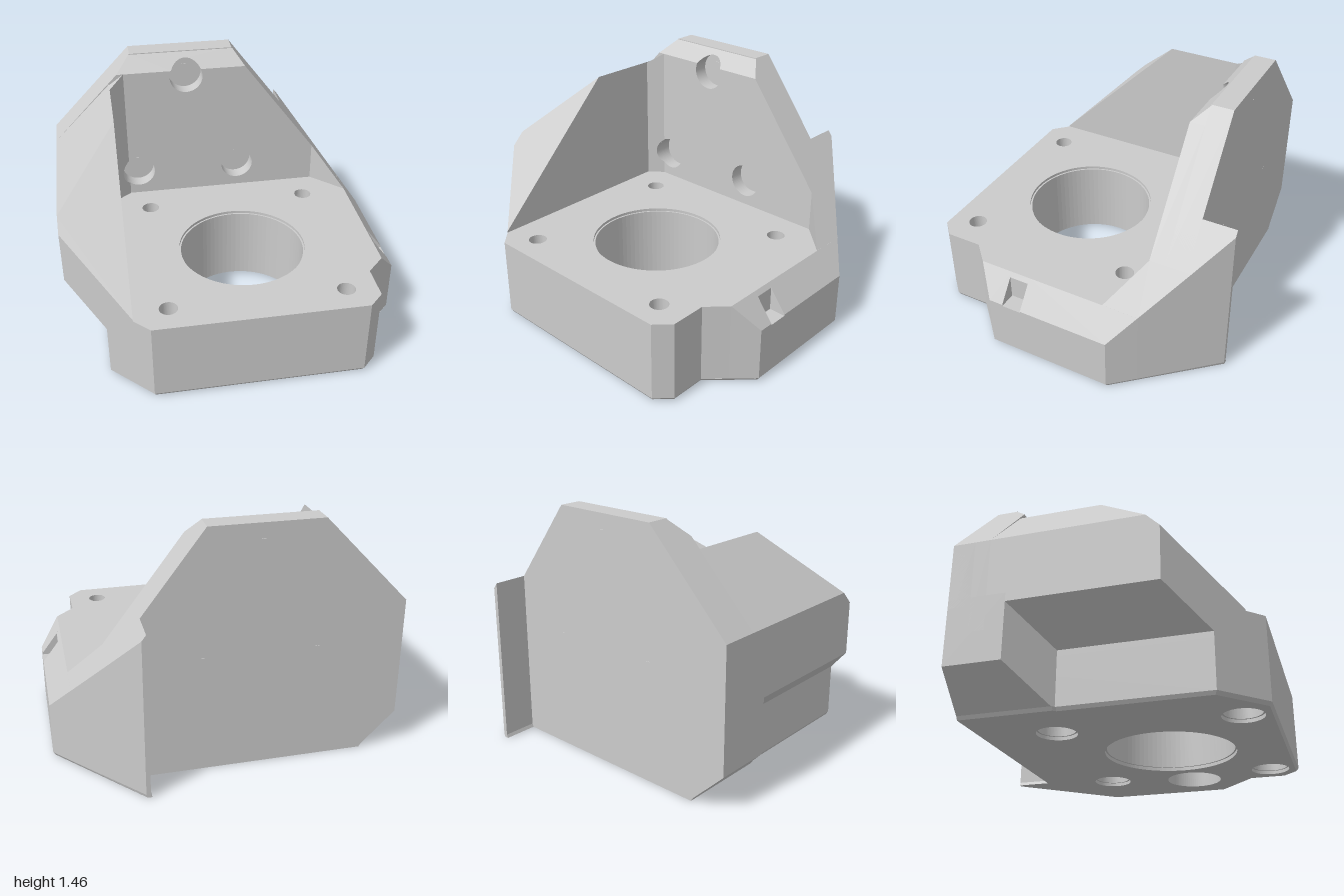
import * as THREE from 'three';
import { ConvexGeometry } from 'three/addons/geometries/ConvexGeometry.js';

const mat = new THREE.MeshStandardMaterial({ color: 0xcccccc, flatShading: true });
const FLOOR = 0.497; // top of the base
const FOOT = 0.02; // height of the chamfered foot layer
// height of the sloping cut on the +x side
const slope = (x) => 1.46 - 1.32 * (x - 0.15);

export function createModel() {
  const group = new THREE.Group();
  const add = (name, geo) => {
    const mesh = new THREE.Mesh(geo, mat);
    mesh.name = name;
    group.add(mesh);
  };
  const hull = (name, pts) =>
    add(name, new ConvexGeometry(pts.map((p) => new THREE.Vector3(...p))));
  // upright prism over plan corners [x, z, top], from a common bottom
  const prism = (name, corners, bottom) =>
    hull(name, corners.flatMap(([x, z, top]) => [[x, bottom, z], [x, top, z]]));
  const polygon = (pts) => new THREE.Shape(pts.map(([x, y]) => new THREE.Vector2(x, y)));
  const circle = (x, y, r) => new THREE.Path().absarc(x, y, r, 0, Math.PI * 2, true);
  // round hole with a small peak on top
  const teardrop = (x, y, r) => {
    const p = new THREE.Path();
    p.moveTo(x, y + r * 1.3);
    p.absarc(x, y, r, Math.PI * 0.6, Math.PI * 2.4, true);
    p.closePath();
    return p;
  };
  const extrude = (shape, depth) =>
    new THREE.ExtrudeGeometry(shape, { depth, bevelEnabled: false, curveSegments: 40 });
  // pull front vertices back onto a slanted plane z = limit(x, y)
  const slant = (geo, limit) => {
    const p = geo.attributes.position;
    for (let i = 0; i < p.count; i++)
      p.setZ(i, Math.min(p.getZ(i), limit(p.getX(i), p.getY(i))));
    geo.computeVertexNormals();
    return geo;
  };

  // base block in layers: counterbores and blind pocket open below
  const baseLayer = (plan, y0, y1, bore, screw) => {
    const shape = polygon(plan.map(([x, z]) => [x, -z]).reverse());
    shape.holes.push(circle(0.075, -0.23, bore));
    for (const x of [-0.437, 0.587])
      for (const z of [-0.286, 0.741]) shape.holes.push(circle(x, -z, screw));
    if (y1 <= 0.3) shape.holes.push(circle(0.69, -0.235, 0.17));
    return extrude(shape, y1 - y0).rotateX(-Math.PI / 2).translate(0, y0, 0);
  };
  const corner = [[0.77, 0.605], [0.77, 0.82], [0.685, 0.905], [-0.55, 0.905]];
  const rearEdge = [[0.51, -0.71], [0.51, -0.91], [0.535, -0.91]];
  const plan = [[-0.785, -0.71], ...rearEdge, [0.88, -0.518], [0.88, 0.495], ...corner, [-0.785, 0.67]];
  for (const layer of [[FOOT, 0.3, 0.375, 0.105], [0.3, 0.48, 0.375, 0.054], [0.48, FLOOR, 0.385, 0.054]])
    add('base', baseLayer(plan, ...layer));

  // foot layer: the lower outline is drawn in for a narrow chamfer
  const footPlan = [[-0.8, -0.71], ...rearEdge, [1, -0.38], [1, 0.38], ...corner, [-0.785, 0.67], [-0.785, -0.16], [-0.8, -0.175]];
  const foot = baseLayer(footPlan, 0, FOOT, 0.385, 0.115);
  const fp = foot.attributes.position;
  for (let i = 0; i < fp.count; i++) {
    const x = fp.getX(i), z = fp.getZ(i);
    if (fp.getY(i) < 0.01 && footPlan.some(([px, pz]) => Math.hypot(px - x, pz - z) < 1e-4))
      fp.setXYZ(i, x * 0.985, 0, z > 0 ? z * 0.985 : z);
  }
  foot.computeVertexNormals();
  add('foot', foot);

  // sloped edge of the base, with a small notch
  const rim = slope(1);
  prism('baseEdgeBack', [[0.88, -0.518, FLOOR], [1, -0.38, rim], [1, 0.172, rim], [0.88, 0.172, FLOOR]], FOOT);
  prism('baseEdgeFront', [[0.88, 0.292, FLOOR], [1, 0.292, rim], [1, 0.38, rim], [0.88, 0.495, FLOOR]], FOOT);
  const notch = polygon([[0.88, FOOT], [1, FOOT], [1, 0.33], [0.9, 0.33], [0.9, slope(0.9)], [0.88, FLOOR]]);
  add('baseNotch', extrude(notch, 0.12).translate(0, 0, 0.172));

  // back plate, rear layer with screw holes
  const screws = [[-0.156, 1.32], [-0.487, 0.661], [0.173, 0.661]];
  const rear = polygon([[-1, 0.4], [0.69, 0.4], [0.69, slope(0.69)], [0.15, 1.46], [-0.5, 1.46], [-1, 0.94]]);
  for (const [x, y] of screws) rear.holes.push(teardrop(x, y, 0.053));
  add('backPlate', extrude(rear, 0.13).translate(0, 0, -0.71));

  // front layer with counterbores; the top one runs into the chamfer
  const [topX, topY] = screws[0];
  const r = 0.105, yc = 1.365, a = Math.asin((yc - topY) / r), dx = r * Math.cos(a);
  const xRight = 0.15 + (1.46 - yc) / 1.32, xLeft = -0.5 - (1.46 - yc) / 1.04;
  const front = new THREE.Shape();
  front.moveTo(-1, 0.4);
  front.lineTo(0.69, 0.4);
  front.lineTo(0.69, slope(0.69));
  front.lineTo(xRight, yc);
  front.lineTo(topX + dx, yc);
  front.absarc(topX, topY, r, a, Math.PI - a, true);
  front.lineTo(xLeft, yc);
  front.lineTo(-1, 0.94);
  for (const [x, y] of screws.slice(1)) front.holes.push(circle(x, y, r));
  add('backPlateFace', extrude(front, 0.09).translate(0, 0, -0.58));

  const cap = new THREE.Shape();
  cap.moveTo(topX + dx, yc);
  cap.lineTo(xRight, yc);
  cap.lineTo(0.15, 1.46);
  cap.lineTo(-0.5, 1.46);
  cap.lineTo(xLeft, yc);
  cap.lineTo(topX - dx, yc);
  cap.absarc(topX, topY, r, Math.PI - a, a, true);
  const capGeo = extrude(cap, 0.09).translate(0, 0, -0.58);
  add('backPlateChamfer', slant(capGeo, (x, y) => 0.875 - y));

  // inside corner fill beside the wall, cleared for the counterbore
  const [boreX, boreY] = screws[1];
  const b = Math.acos((-0.55 - boreX) / r);
  const fill = new THREE.Shape();
  fill.moveTo(-0.64, 0.45);
  fill.lineTo(-0.55, 0.45);
  fill.absarc(boreX, boreY, r, Math.PI * 2 - b, b, true);
  fill.lineTo(-0.55, yc);
  fill.lineTo(-0.64, 1.3);
  const fillGeo = extrude(fill, 0.07).translate(0, 0, -0.49);
  add('cornerFill', slant(fillGeo, (x) => -0.42 - 0.778 * (x + 0.64)));

  // side wall with sloped front and overhanging ledge
  hull('sideWall', [
    [-1, 0.55, -0.71], [-1, 0.94, -0.71], [-1, 0.94, 0.38], [-1, 0.865, 0.455], [-1, 0.55, 0.455],
    [-0.64, 0.19, -0.71], [-0.64, 1.305, -0.71], [-0.64, 1.305, 0.015], [-0.64, 0.505, 0.815], [-0.64, 0.19, 0.815]]);
  hull('sideWallFoot', [
    [-1, 0.22, -0.71], [-1, 0.6, -0.71], [-1, 0.22, -0.38], [-1, 0.6, -0.38],
    [-0.8, FOOT, -0.71], [-0.8, FOOT, -0.18], [-0.785, 0.6, -0.165],
    [-0.65, FOOT, -0.71], [-0.65, 0.6, -0.71], [-0.65, FOOT, -0.03], [-0.65, 0.6, -0.03]]);

  // rear fin and buttress under the sloping cut
  const under = (x, z) => [x, z, slope(x)];
  prism('rearFin', [under(0.51, -0.91), under(0.535, -0.91), under(0.69, -0.735), under(0.69, -0.49), under(0.51, -0.49)], 0.4);
  prism('buttress', [under(0.69, -0.735), under(0.88, -0.518), under(0.88, -0.3), under(0.69, -0.49)], 0.4);

  return group;
}
